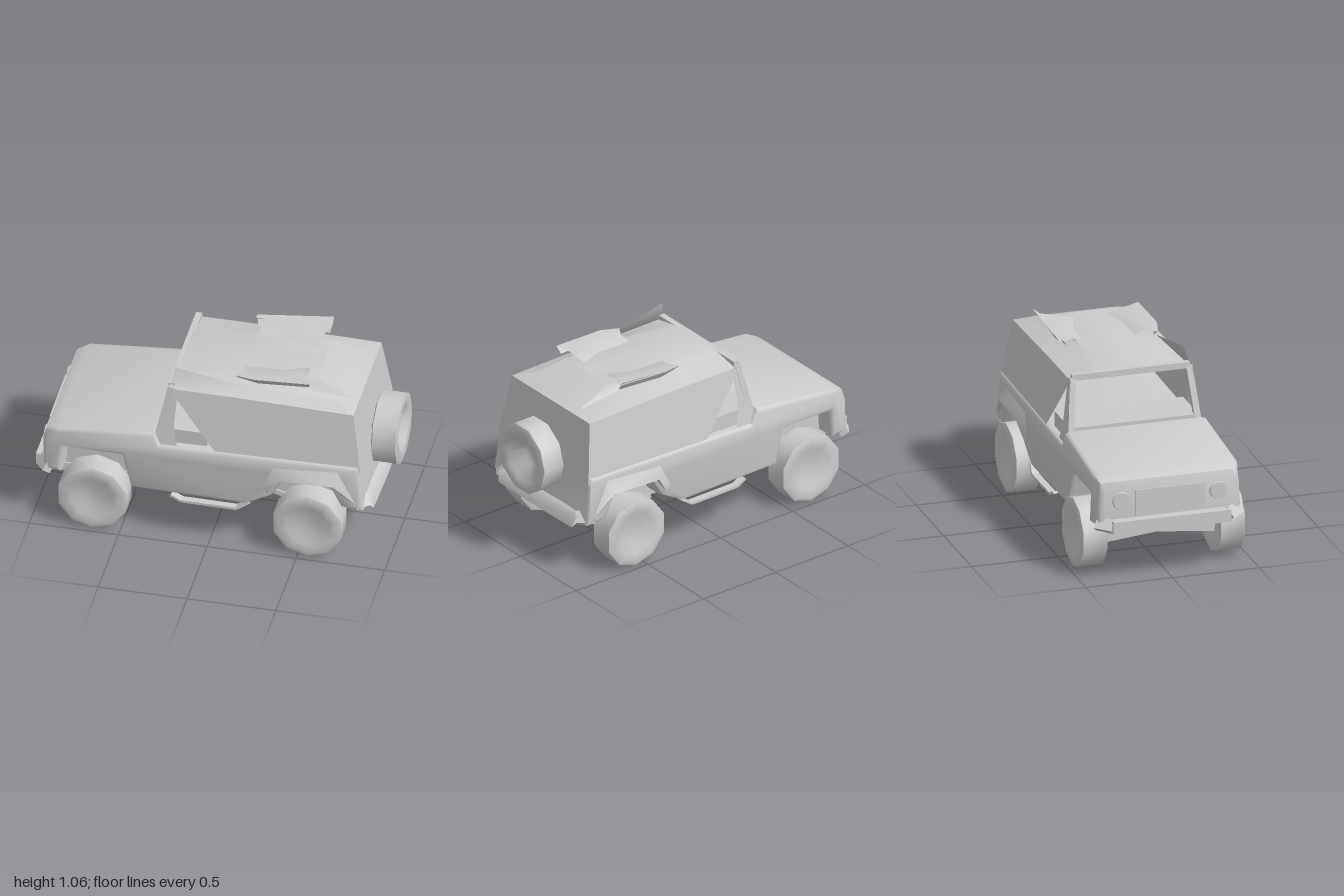
import * as THREE from 'three';
import { toCreasedNormals } from 'three/addons/utils/BufferGeometryUtils.js';

const grey = new THREE.MeshStandardMaterial({ color: 0xcccccc, side: THREE.DoubleSide });

export function createModel() {
  const model = new THREE.Group();

  const add = (name, geometry, x = 0, y = 0, z = 0, crease = 0.8) => {
    const mesh = new THREE.Mesh(toCreasedNormals(geometry, crease), grey);
    mesh.name = name;
    mesh.position.set(x, y, z);
    model.add(mesh);
    return mesh;
  };
  const box = (name, w, h, d, x, y, z) => add(name, new THREE.BoxGeometry(w, h, d), x, y, z);

  // Square bar between two points
  const beam = (name, a, b, w, d = w) => {
    const p = new THREE.Vector3(...a), q = new THREE.Vector3(...b);
    const mesh = add(name, new THREE.BoxGeometry(w, p.distanceTo(q), d));
    mesh.position.copy(p).add(q).multiplyScalar(0.5);
    mesh.quaternion.setFromUnitVectors(new THREE.Vector3(0, 1, 0), q.sub(p).normalize());
    return mesh;
  };

  // Surface through rows with equal numbers of points
  const loft = (rows) => {
    const n = rows[0].length, index = [];
    for (let r = 0; r < rows.length - 1; r++) {
      for (let i = 0; i < n - 1; i++) {
        const a = r * n + i, b = a + 1, c = a + n, d = c + 1;
        index.push(a, b, d, a, d, c);
      }
    }
    const g = new THREE.BufferGeometry();
    g.setAttribute('position', new THREE.Float32BufferAttribute(rows.flat(2), 3));
    g.setIndex(index);
    g.computeVertexNormals();
    return g;
  };

  // Side outline of bonnet and tub, with trapezoid wheel arches
  const outline = [
    [-0.92, 0.34], [-0.86, 0.34], [-0.85, 0.5], [-0.48, 0.5], [-0.43, 0.3],
    [0.2, 0.29], [0.33, 0.36], [0.4, 0.48], [0.68, 0.48], [0.75, 0.35],
    [0.835, 0.34], [0.81, 0.57], [-0.3, 0.55], [-0.34, 0.625], [-0.86, 0.575], [-0.91, 0.55], [-0.925, 0.5],
  ].map(([x, y]) => new THREE.Vector2(x, y));
  const bodyGeo = new THREE.ExtrudeGeometry(new THREE.Shape(outline), {
    depth: 0.78, bevelSize: 0.025, bevelThickness: 0.03, bevelSegments: 2,
  });
  bodyGeo.translate(0, 0, -0.39);
  const pos = bodyGeo.attributes.position;
  for (let i = 0; i < pos.count; i++) {
    // Sides lean inwards; nose is slightly narrower
    const narrow = pos.getX(i) < -0.88 ? 0.96 : 1;
    pos.setZ(i, pos.getZ(i) * (1.035 - 0.15 * (pos.getY(i) - 0.29)) * narrow);
  }
  add('body', bodyGeo);

  // Hardtop: open rings from belt line up to the roof centre
  // [half width, front x y, middle x y, rear x y]
  const ring = ([z, ...p]) => {
    const half = [0, 2, 4].map((i) => [p[i], p[i + 1], z]);
    return [...half, ...half.slice().reverse().map(([x, y]) => [x, y, -z])];
  };
  add('hardtop', loft([
    [0.405, 0.03, 0.56, 0.3, 0.56, 0.84, 0.56],
    [0.35, -0.25, 0.92, 0.1, 0.92, 0.79, 0.905],
    [0.22, -0.24, 0.945, 0.1, 0.975, 0.76, 0.925],
    [0.19, -0.23, 0.95, 0.1, 0.99, 0.55, 1.0],
    [0, -0.23, 0.96, 0.1, 1.0, 0.55, 1.0],
  ].map(ring)));

  // Open windscreen frame, pillars wider at the foot
  for (const s of [1, -1]) {
    add('windscreenPillar', loft([
      [[-0.33, 0.55, s * 0.4], [-0.19, 0.55, s * 0.4]],
      [[-0.3, 0.68, s * 0.38], [-0.215, 0.68, s * 0.38]],
      [[-0.26, 0.92, s * 0.35], [-0.2, 0.9, s * 0.35]],
    ]));
    beam('windscreenEdge', [-0.31, 0.6, s * 0.37], [-0.235, 0.93, s * 0.335], 0.035, 0.035);
  }
  beam('windscreenHeader', [-0.235, 0.935, -0.34], [-0.235, 0.935, 0.34], 0.035);

  // Lifted strip along one roof edge, tallest at the windscreen
  add('roofLip', loft([
    [[-0.25, 0.92, 0.35], [0.2, 0.92, 0.35], [0.75, 0.91, 0.34]],
    [[-0.22, 1.04, 0.31], [0.2, 0.955, 0.29], [0.7, 0.93, 0.27]],
  ]));

  // Shelf behind the windscreen
  box('dashboard', 0.28, 0.1, 0.74, -0.17, 0.615, 0);

  // Uneven load on the roof, sagging towards the middle
  for (const s of [1, -1]) {
    add('roofLoad', loft([
      [[0.12, 0.985, s * 0.25], [0.24, 0.985, s * 0.28], [0.52, 0.99, s * 0.26]],
      [[0.11, 1.01, s * 0.27], [0.22, 1.02, s * 0.3], [0.53, 1.03, s * 0.29]],
      [[0.15, 1.01, s * 0.2], [0.3, 1.02, s * 0.2], [0.5, 1.02, s * 0.2]],
      [[0.13, 0.99, s * 0.14], [0.35, 0.995, s * 0.14], [0.49, 0.995, s * 0.08]],
    ]));
  }
  add('roofSpike', loft([
    [[0.1, 1.01, -0.28], [0.53, 1.03, -0.28]],
    [[0.1, 1.02, -0.3], [0.53, 1.06, -0.32]],
  ]));

  // Ten-sided wheel with flat tread and dished faces, axis along y before turning
  const wheelGeo = (r, w, low, high) => new THREE.LatheGeometry([
    [0, low], [r * 0.3, low], [r * 0.62, -w * 0.44], [r * 0.88, -w * 0.5], [r, -w * 0.44],
    [r, w * 0.44], [r * 0.88, w * 0.5], [r * 0.62, w * 0.44], [r * 0.3, high], [0, high],
  ].map(([x, y]) => new THREE.Vector2(x, y)), 10);

  for (const [x, name] of [[-0.655, 'front'], [0.555, 'rear']]) {
    for (const s of [1, -1]) {
      add(name + 'Wheel', wheelGeo(0.2, 0.155, -0.05, 0.05), x, 0.195, s * 0.397, 1).rotation.x = Math.PI / 2;
      // Half axle, lower towards the wheel
      beam(name + 'Axle', [x, 0.21, 0], [x, 0.175, s * 0.34], 0.1);
      for (const dx of [-0.22, 0.22]) {
        beam('leafSpring', [x + dx, 0.29, s * 0.27], [x, 0.22, s * 0.27], 0.03, 0.08);
      }
    }
  }
  add('spareWheel', wheelGeo(0.207, 0.15, 0.01, 0.04), 0.925, 0.603, 0, 1).rotation.z = Math.PI / 2;
  box('spareMount', 0.06, 0.12, 0.14, 0.85, 0.6, 0);

  for (const s of [1, -1]) {
    // Rear wings swell out of the body side over the wheels
    add('rearFlare', loft([
      [[0.25, 0.36, 0.415], [0.34, 0.55, 0.405], [0.72, 0.58, 0.403], [0.83, 0.45, 0.405]],
      [[0.32, 0.36, 0.43], [0.39, 0.47, 0.46], [0.7, 0.48, 0.46], [0.82, 0.36, 0.43]],
      [[0.34, 0.35, 0.4], [0.4, 0.465, 0.4], [0.68, 0.465, 0.4], [0.77, 0.35, 0.4]],
    ].map((row) => row.map(([a, b, c]) => [a, b, s * c]))));
    // Thin running board slung outside the sill
    beam('runningBoard', [-0.22, 0.265, s * 0.42], [-0.16, 0.238, s * 0.425], 0.015, 0.04);
    beam('runningBoard', [-0.16, 0.238, s * 0.425], [0.15, 0.235, s * 0.425], 0.015, 0.04);
    beam('runningBoard', [0.15, 0.235, s * 0.425], [0.22, 0.28, s * 0.415], 0.015, 0.04);
    box('frameRail', 1.6, 0.05, 0.08, -0.02, 0.275, s * 0.2);
  }

  // Underside: inner wheel arch walls, drive shaft and cross members
  box('chassis', 1.68, 0.22, 0.6, -0.03, 0.4, 0);
  beam('driveShaft', [-0.655, 0.24, 0.04], [0.555, 0.24, 0.04], 0.05);
  for (const x of [-0.82, 0.74]) box('crossMember', 0.08, 0.05, 0.62, x, 0.27, 0);

  // Nose and tail
  box('grille', 0.015, 0.15, 0.4, -0.948, 0.44, 0);
  for (const s of [1, -1]) {
    add('headlamp', new THREE.CylinderGeometry(0.05, 0.055, 0.02, 10), -0.95, 0.46, s * 0.28)
      .rotation.z = Math.PI / 2;
    // Bumper ends sweep back round the corners
    beam('frontBumperEnd', [-0.965, 0.32, s * 0.33], [-0.91, 0.33, s * 0.41], 0.05, 0.07);
    beam('rearBumperEnd', [0.865, 0.335, s * 0.33], [0.8, 0.345, s * 0.41], 0.05, 0.07);
  }
  box('frontBumper', 0.06, 0.07, 0.68, -0.97, 0.32, 0);
  // Rear bumper lip tilts outwards at the bottom
  add('rearBumper', loft([
    [[0.85, 0.37, -0.36], [0.86, 0.37, 0], [0.85, 0.37, 0.36]],
    [[0.88, 0.35, -0.35], [0.89, 0.35, 0], [0.88, 0.35, 0.35]],
    [[0.9, 0.285, -0.33], [0.91, 0.29, 0], [0.9, 0.285, 0.33]],
    [[0.84, 0.31, -0.33], [0.84, 0.3, 0], [0.84, 0.31, 0.33]],
  ]));

  return model;
}
